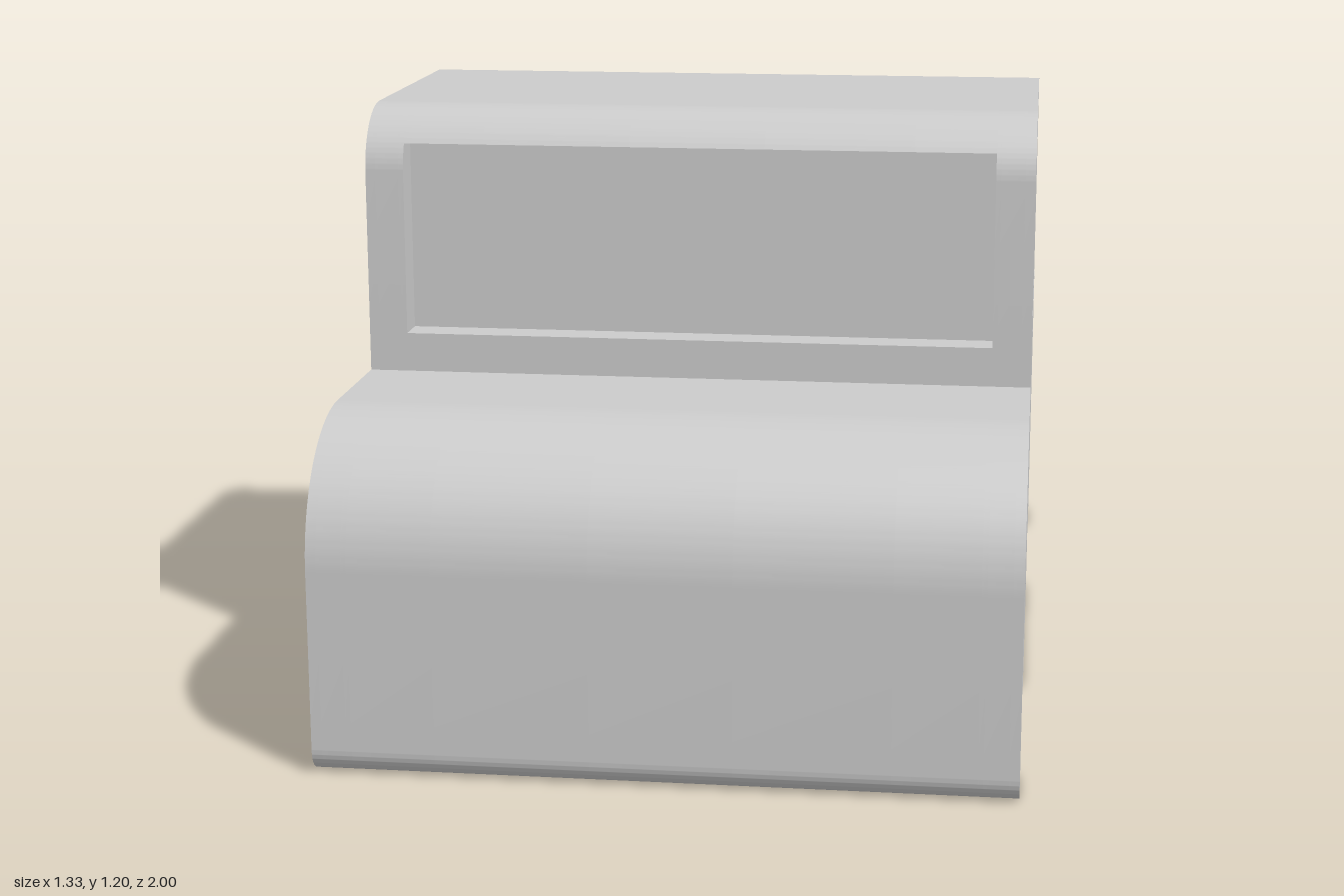
import * as THREE from 'three';
import { toCreasedNormals } from 'three/addons/utils/BufferGeometryUtils.js';

const PI = Math.PI;
const grey = new THREE.MeshStandardMaterial({ color: 0xcccccc });
const greyDouble = new THREE.MeshStandardMaterial({ color: 0xcccccc, side: THREE.DoubleSide });

const HALF_W = 0.667;
const ARCH = { z: 0.6, y: 0.135, r: 0.27, fillet: 0.02 };
const WIN = { bottom: 0.745, top: 1.13, depth: 0.067 };

// Side outline of the whole car (u = -z, v = y) with optional cut-outs
function outline({ pit = false, windows = false, archR = 0, sideWindow = false }) {
  const s = new THREE.Shape();
  s.moveTo(-0.95, 0);
  if (archR) {
    const a = Math.asin(ARCH.y / archR);
    for (const u of [-ARCH.z, ARCH.z]) s.absarc(u, ARCH.y, archR, PI + a, -a, true);
  }
  s.lineTo(0.95, 0);
  // tail
  s.absarc(0.95, 0.05, 0.05, -PI / 2, 0, false);
  s.absarc(0.733, 0.4, 0.267, 0, PI / 2, false);
  if (pit) {
    s.lineTo(0.61, 0.667);
    s.lineTo(0.61, 0.5);
    s.lineTo(0.47, 0.5);
    s.lineTo(0.47, 0.667);
  }
  // cab, with recessed windscreens where asked
  s.lineTo(0.333, 0.667);
  const a0 = windows ? Math.asin((WIN.top - 1.07) / 0.13) : 0;
  if (windows) {
    s.lineTo(0.333, WIN.bottom);
    s.lineTo(0.333 - WIN.depth, WIN.bottom);
    s.lineTo(0.333 - WIN.depth, WIN.top);
  }
  s.absarc(0.203, 1.07, 0.13, a0, PI / 2, false);
  s.absarc(-0.34, 1.07, 0.13, PI / 2, PI - a0, false);
  if (windows) {
    s.lineTo(-0.47 + WIN.depth, WIN.top);
    s.lineTo(-0.47 + WIN.depth, WIN.bottom);
    s.lineTo(-0.47, WIN.bottom);
  }
  s.lineTo(-0.47, 0.667);
  // nose
  s.absarc(-0.733, 0.4, 0.267, PI / 2, PI, false);
  s.absarc(-0.95, 0.05, 0.05, PI, PI * 1.5, false);
  if (sideWindow) {
    const h = new THREE.Path();
    h.moveTo(-0.39, WIN.bottom);
    h.lineTo(-0.39, WIN.top);
    h.lineTo(0.255, WIN.top);
    h.lineTo(0.255, WIN.bottom);
    h.closePath();
    s.holes.push(h);
  }
  return s;
}

// Extrude a (u, y) shape across the car from x0 to x1
function slab(shape, x0, x1) {
  const g = new THREE.ExtrudeGeometry(shape, { depth: x1 - x0, bevelEnabled: false, curveSegments: 28 });
  g.rotateY(PI / 2);
  g.translate(x0, 0, 0);
  return toCreasedNormals(g, 0.5);
}

function add(parent, name, geometry, material = grey) {
  const m = new THREE.Mesh(geometry, material);
  m.name = name;
  parent.add(m);
  return m;
}

// Rounded lip on the outer edge of a wheel arch
function archLip(side, z) {
  const pts = [];
  for (let i = 0; i <= 6; i++) {
    const t = (i / 6) * PI / 2;
    pts.push(new THREE.Vector2(ARCH.r + ARCH.fillet * (1 - Math.cos(t)), ARCH.fillet * Math.sin(t)));
  }
  const g = new THREE.LatheGeometry(pts, 40, -PI * 7 / 6, PI * 4 / 3);
  g.rotateZ(-PI / 2);
  if (side < 0) g.rotateY(PI);
  g.translate(side * (HALF_W - ARCH.fillet), ARCH.y, z);
  const p = g.attributes.position;
  for (let i = 0; i < p.count; i++) p.setY(i, Math.max(0, p.getY(i)));
  return g;
}

export function createModel() {
  const model = new THREE.Group();
  model.name = 'car';

  // Body: slices across the width, mirrored left and right
  const body = new THREE.Group();
  body.name = 'body';
  model.add(body);
  add(body, 'bodyCentre', slab(outline({ pit: true, windows: true }), -0.135, 0.135));
  const lipX = HALF_W - ARCH.fillet;
  const slices = [
    ['bodyInner', 0.135, 0.43, { windows: true }],
    ['bodyOverWheels', 0.43, 0.59, { windows: true, archR: ARCH.r }],
    ['cabPillar', 0.59, 0.6, { archR: ARCH.r }],
    ['sidePanel', 0.6, lipX, { archR: ARCH.r, sideWindow: true }],
    ['sideSkin', lipX, HALF_W, { archR: ARCH.r + ARCH.fillet, sideWindow: true }],
  ];
  for (const [name, a, b, options] of slices) {
    const shape = outline(options);
    add(body, name + 'Left', slab(shape, a, b));
    add(body, name + 'Right', slab(shape, -b, -a));
  }
  for (const side of [1, -1]) {
    for (const z of [ARCH.z, -ARCH.z]) add(body, 'wheelArchLip', archLip(side, z), greyDouble);
  }

  // Twin-barrel turret on a post in the rear deck
  const turret = new THREE.Group();
  turret.name = 'turret';
  turret.position.set(0, 0.79, 0);
  model.add(turret);
  const hex = new THREE.Shape([
    [0.105, 0], [0.078, 0.05], [-0.078, 0.05], [-0.105, 0], [-0.078, -0.05], [0.078, -0.05],
  ].map(([x, y]) => new THREE.Vector2(x, y)));
  const head = new THREE.ExtrudeGeometry(hex, { depth: 0.21, bevelEnabled: false });
  head.translate(0, 0, -0.65);
  add(turret, 'turretHead', head);
  const post = new THREE.BoxGeometry(0.08, 0.25, 0.08);
  add(turret, 'turretPost', post).position.set(0, -0.17, -0.53);
  for (const x of [-0.038, 0.038]) {
    const barrel = new THREE.CylinderGeometry(0.033, 0.033, 0.03, 24);
    barrel.rotateX(PI / 2);
    add(turret, 'barrel', barrel).position.set(x, 0, -0.65);
  }
  return model;
}
